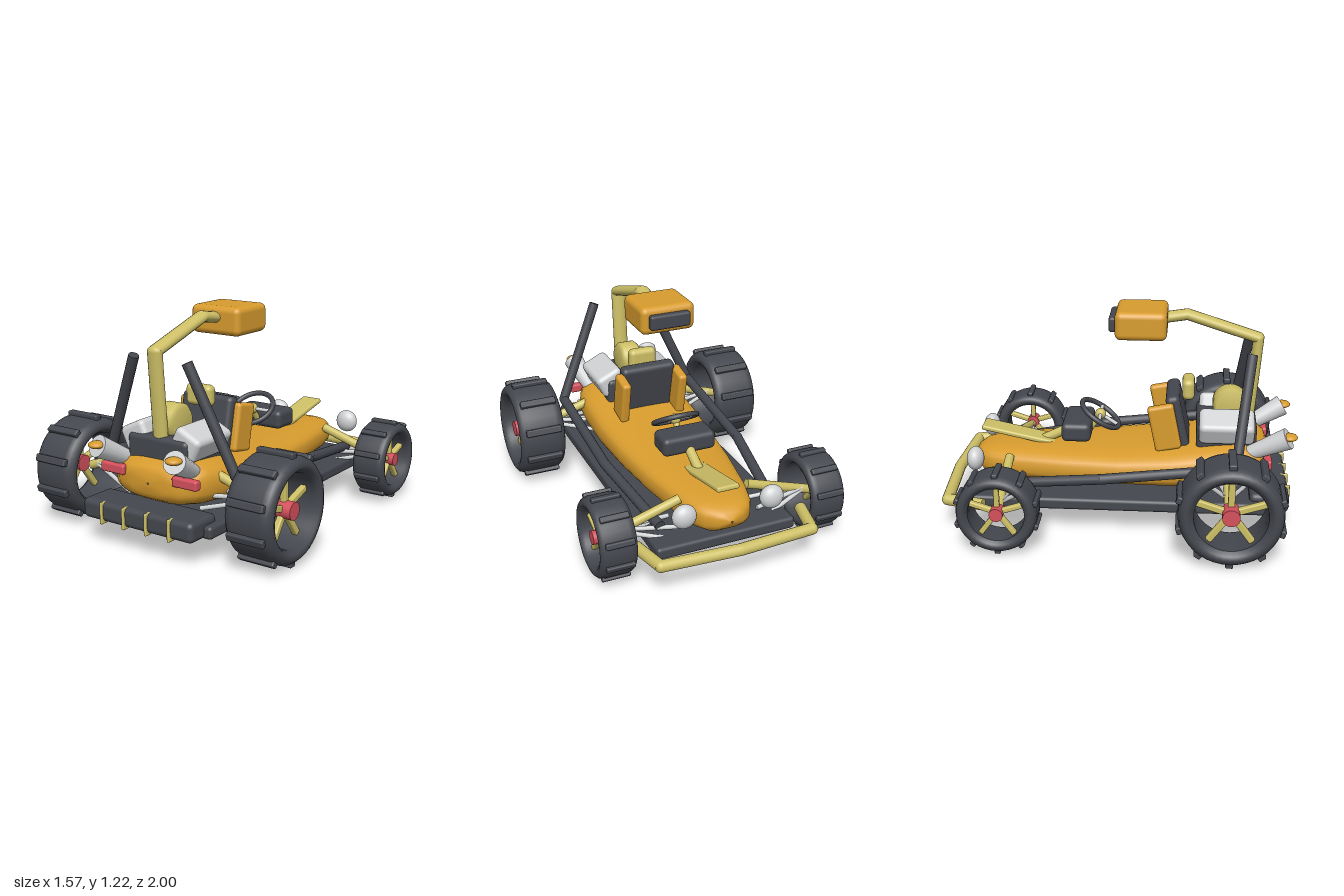
import * as THREE from 'three';
import { RoundedBoxGeometry } from 'three/addons/geometries/RoundedBoxGeometry.js';

const mat = (name, color) => Object.assign(new THREE.MeshStandardMaterial({ color }), { name });

export function createModel() {
  const orange = mat('orange paint', 0xd89c2e);
  const yellow = mat('pale yellow', 0xcdbf66);
  const dark = mat('dark grey', 0x44474e);
  const silver = mat('silver', 0xd0d2d4);
  const red = mat('red', 0xd4505c);

  const model = new THREE.Group();
  model.name = 'buggy';
  const V = (p) => new THREE.Vector3(...p);

  function add(name, geometry, material, pos = [0, 0, 0], parent = model) {
    const mesh = new THREE.Mesh(geometry, material);
    mesh.name = name;
    mesh.position.set(...pos);
    parent.add(mesh);
    return mesh;
  }
  const box = (name, material, size, pos, r = 0.025, parent = model) =>
    add(name, new RoundedBoxGeometry(...size, 3, r), material, pos, parent);

  // Straight rod between two points
  function rod(name, material, a, b, r0, r1 = r0, parent = model) {
    const from = V(a), dir = V(b).sub(from);
    const mesh = add(name, new THREE.CylinderGeometry(r1, r0, dir.length(), 16), material, [0, 0, 0], parent);
    mesh.position.copy(from).addScaledVector(dir, 0.5);
    mesh.quaternion.setFromUnitVectors(new THREE.Vector3(0, 1, 0), dir.normalize());
    return mesh;
  }
  // Bent pipe: rods with ball joints
  function pipe(name, material, points, r) {
    const g = new THREE.Group();
    g.name = name;
    model.add(g);
    for (let i = 1; i < points.length; i++) {
      rod(name + 'Section', material, points[i - 1], points[i], r, r, g);
      if (i < points.length - 1) add(name + 'Bend', new THREE.SphereGeometry(r, 16, 12), material, points[i], g);
    }
    return g;
  }

  // Body shell: superellipse sections along z as [z, half width, bottom, top]
  const sections = [
    [-0.86, 0.005, 0.3, 0.31], [-0.84, 0.08, 0.26, 0.35], [-0.8, 0.135, 0.23, 0.375], [-0.73, 0.175, 0.215, 0.39],
    [-0.6, 0.212, 0.21, 0.4], [-0.3, 0.265, 0.21, 0.41], [0, 0.3, 0.21, 0.42], [0.3, 0.32, 0.21, 0.45],
    [0.55, 0.32, 0.22, 0.485], [0.7, 0.305, 0.235, 0.5], [0.79, 0.27, 0.255, 0.48], [0.835, 0.21, 0.28, 0.45],
    [0.85, 0.12, 0.31, 0.42], [0.853, 0.005, 0.36, 0.37],
  ];
  const N = 32, verts = [], index = [];
  const power = (v) => Math.sign(v) * Math.pow(Math.abs(v), 0.7);
  sections.forEach(([z, w, lo, hi], i) => {
    for (let j = 0; j < N; j++) {
      const a = (j / N) * Math.PI * 2;
      verts.push(w * power(Math.cos(a)), (lo + hi) / 2 + ((hi - lo) / 2) * power(Math.sin(a)), z);
      if (i === sections.length - 1) continue;
      const k = i * N + j, n = i * N + ((j + 1) % N);
      index.push(k, n, k + N, n, n + N, k + N);
    }
  });
  const shell = new THREE.BufferGeometry();
  shell.setAttribute('position', new THREE.Float32BufferAttribute(verts, 3));
  shell.setIndex(index);
  shell.computeVertexNormals();
  add('bodyShell', shell, orange);

  // Floor and bumpers
  box('floorPan', dark, [0.815, 0.07, 1.68], [0, 0.175, 0.02], 0.02);
  box('rearBumper', dark, [0.73, 0.11, 0.22], [0, 0.195, 0.855], 0.03);
  for (const x of [-0.225, -0.075, 0.075, 0.225])
    box('bumperStrap', yellow, [0.016, 0.12, 0.05], [x, 0.19, 0.953], 0.006);
  pipe('frontBumper', yellow, [[-0.49, 0.2, -0.73], [-0.44, 0.2, -0.94], [0, 0.2, -0.967], [0.44, 0.2, -0.94], [0.49, 0.2, -0.73]], 0.033);

  // Wheels: open tyre, tread bars, spokes and hub
  function wheel(name, x, y, z, R, width) {
    const g = new THREE.Group();
    g.name = name;
    g.position.set(x, y, z);
    model.add(g);
    const h = width / 2, ri = R * 0.7;
    const profile = [[ri, -h * 0.75], [R * 0.77, -h * 0.95], [R * 0.84, -h], [R * 0.91, -h * 0.95], [R * 0.97, -h * 0.82], [R, -h * 0.6]];
    const loop = [...profile, ...profile.slice().reverse().map(([r, t]) => [r, -t]), profile[0]];
    const tyre = add('tyre', new THREE.LatheGeometry(loop.map((p) => new THREE.Vector2(...p)), 40), dark, [0, 0, 0], g);
    tyre.rotation.z = -Math.PI / 2;
    for (let i = 0; i < 10; i++) {
      const arm = new THREE.Group();
      arm.name = 'treadArm';
      arm.rotation.x = (i / 10) * Math.PI * 2;
      g.add(arm);
      box('tread', dark, [width * 0.77, R * 0.12, R * 0.15], [0, R * 1.015, 0], 0.008, arm);
      if (i % 2 === 0) box('spoke', yellow, [0.035, R * 0.68, R * 0.13], [Math.sign(x) * h * 0.35, R * 0.4, 0], 0.008, arm);
    }
    const hub = add('hub', new THREE.CylinderGeometry(R * 0.17, R * 0.17, h * 0.7, 20), red, [Math.sign(x) * h * 0.45, 0, 0], g);
    hub.rotation.z = Math.PI / 2;
  }

  for (const s of [-1, 1]) {
    wheel('rearWheel', s * 0.645, 0.303, 0.63, 0.28, 0.28);
    wheel('frontWheel', s * 0.614, 0.243, -0.62, 0.22, 0.206);

    // Suspension arms
    for (const [z, y] of [[0.62, 0.33], [-0.625, 0.265]]) {
      rod('strut', yellow, [s * 0.61, y - 0.03, z], [s * 0.2, y + 0.1, z], 0.026);
      for (const d of [-1, 1]) {
        rod('lowerArm', silver, [s * 0.55, y - 0.01, z + d * 0.012], [s * 0.24, y - 0.09, z + d * 0.1], 0.013);
        rod('upperArm', silver, [s * 0.55, y, z + d * 0.01], [s * 0.24, y - 0.03, z + d * 0.06], 0.013);
      }
    }

    // Side rails rising into roll bars
    pipe('sideRail', dark, [[s * 0.175, 1.005, 0.735], [s * 0.422, 0.43, 0.66], [s * 0.422, 0.345, -0.08], [s * 0.335, 0.26, -0.68]], 0.029);

    // Engine heads, exhausts and lamps
    const head = box('engineHead', silver, [0.17, 0.14, 0.31], [s * 0.165, 0.575, 0.61], 0.03);
    head.rotation.z = -s * 0.45;
    rod('exhaust', silver, [s * 0.205, 0.42, 0.71], [s * 0.255, 0.55, 0.95], 0.038, 0.062);
    add('exhaustTip', new THREE.SphereGeometry(0.045, 20, 12), orange, [s * 0.255, 0.558, 0.955]).scale.y = 0.45;
    box('tailLight', red, [0.16, 0.054, 0.045], [s * 0.24, 0.408, 0.84], 0.012);
    add('headlight', new THREE.SphereGeometry(0.068, 24, 16), silver, [s * 0.255, 0.375, -0.812]).scale.z = 0.72;

    // Seat bolsters
    box('seatBolster', orange, [0.055, 0.27, 0.15], [s * 0.18, 0.565, 0.26], 0.02).rotation.x = -0.2;
  }

  // Seat back and headrest
  box('seatBack', dark, [0.34, 0.35, 0.08], [0, 0.57, 0.335], 0.03).rotation.x = -0.22;
  box('headrest', yellow, [0.17, 0.12, 0.07], [0, 0.75, 0.39], 0.03);

  // Engine
  box('engineBlock', dark, [0.4, 0.2, 0.34], [0, 0.5, 0.61], 0.03);
  const drum = [[0, -0.065], [0.08, -0.065], [0.1, -0.045], [0.1, 0.045], [0.08, 0.065], [0, 0.065]];
  add('engineFan', new THREE.LatheGeometry(drum.map((p) => new THREE.Vector2(...p)), 28), yellow, [0, 0.655, 0.63])
    .rotation.z = Math.PI / 2;

  // Rear mast carrying the overhead lamp
  pipe('mast', yellow, [[0, 0.52, 0.735], [0, 1.05, 0.775], [0, 1.178, 0.375], [0, 1.15, 0.2]], 0.031).scale.x = 1.45;
  box('lampHousing', orange, [0.325, 0.16, 0.29], [0, 1.14, 0.12], 0.035);
  box('lampPanel', dark, [0.24, 0.085, 0.06], [0, 1.14, -0.03], 0.015);

  // Dashboard, steering wheel and bonnet fin
  box('dashboard', dark, [0.32, 0.11, 0.168], [0, 0.5, -0.247], 0.03);
  const steering = new THREE.Group();
  steering.name = 'steeringWheel';
  steering.position.set(0, 0.567, -0.117);
  steering.rotation.x = -0.987;
  model.add(steering);
  add('steeringRim', new THREE.TorusGeometry(0.126, 0.015, 12, 36), dark, [0, 0, 0], steering);
  for (const a of [0, Math.PI, -Math.PI / 2])
    rod('steeringSpoke', silver, [0, 0, 0], [0.122 * Math.cos(a), 0.122 * Math.sin(a), 0], 0.011, 0.011, steering);
  add('steeringHub', new THREE.SphereGeometry(0.032, 16, 12), yellow, [0, 0, 0], steering);
  rod('steeringColumn', yellow, [0, 0, 0], [0, 0, -0.13], 0.018, 0.018, steering);
  rod('columnMount', yellow, [0, 0.47, -0.31], [0, 0.395, -0.46], 0.028);
  box('bonnetFin', yellow, [0.13, 0.03, 0.44], [0, 0.437, -0.595], 0.012).rotation.x = 0.21;

  return model;
}
